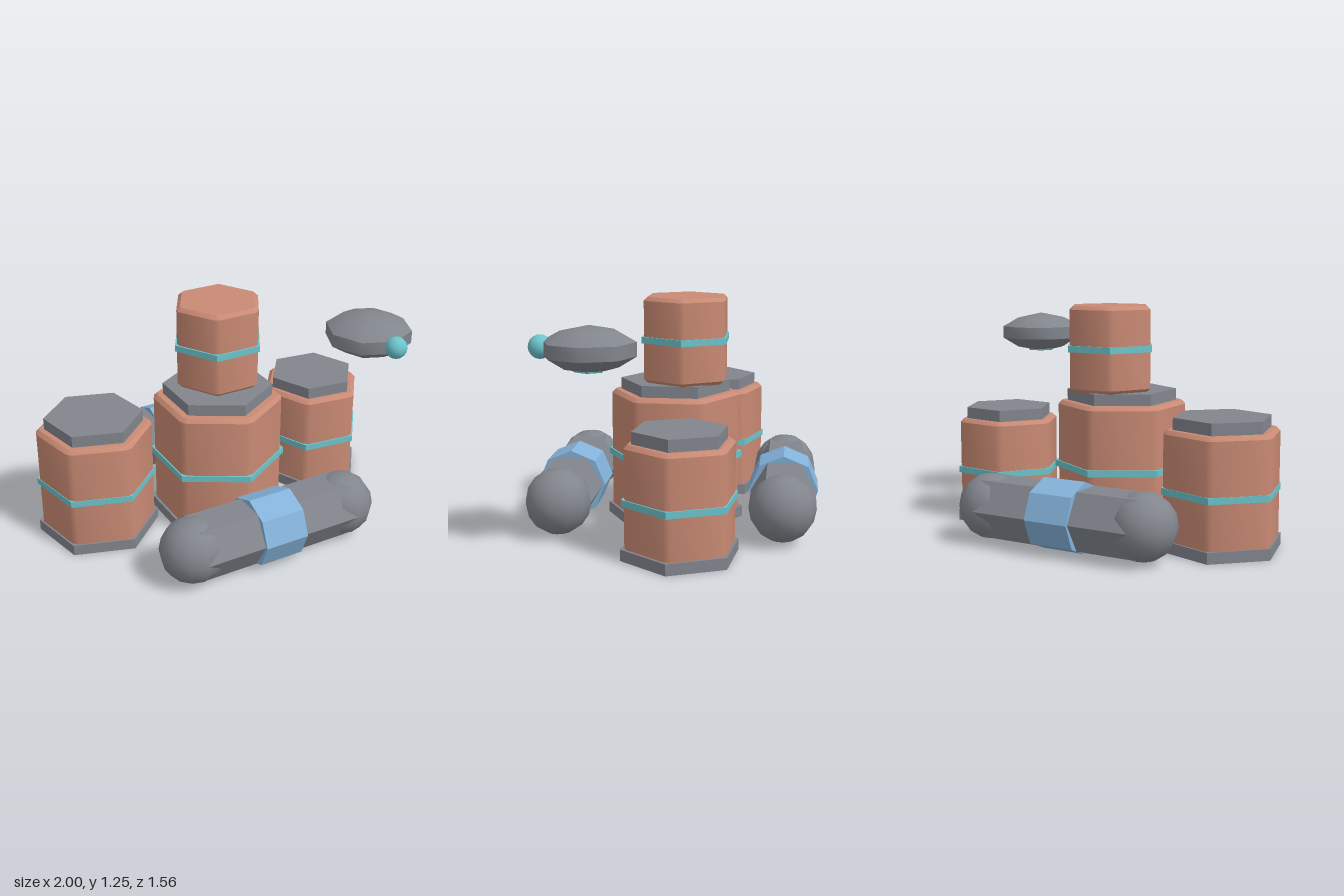
import * as THREE from 'three';
import { toCreasedNormals } from 'three/addons/utils/BufferGeometryUtils.js';

const deg = Math.PI / 180;

function material(name, color) {
  const m = new THREE.MeshStandardMaterial({ color });
  m.name = name;
  return m;
}

function add(parent, name, geometry, mat, x = 0, y = 0, z = 0) {
  const mesh = new THREE.Mesh(geometry, mat);
  mesh.name = name;
  mesh.position.set(x, y, z);
  parent.add(mesh);
  return mesh;
}

// Sharp-edged prism standing on its base
function prism(radius, height, sides) {
  const g = new THREE.CylinderGeometry(radius, radius, height, sides);
  return toCreasedNormals(g.translate(0, height / 2, 0), 0.5);
}

// Hexagonal drum with softened corners and a bevelled rim
function drum(radius, height, bevel = 0.02) {
  const half = 3.5 * deg, r = radius / Math.cos(half), points = [];
  for (let i = 0; i < 6; i++) {
    for (const s of [-1, 1]) {
      const a = (90 + i * 60) * deg + s * half;
      points.push(new THREE.Vector2(r * Math.cos(a), r * Math.sin(a)));
    }
  }
  const g = new THREE.ExtrudeGeometry(new THREE.Shape(points), {
    depth: height - 2 * bevel, bevelEnabled: true, bevelThickness: bevel,
    bevelSize: bevel, bevelOffset: -bevel, bevelSegments: 1,
  });
  g.translate(0, 0, bevel).rotateX(-Math.PI / 2);
  return toCreasedNormals(g, 40 * deg);
}

export function createModel() {
  const root = new THREE.Group();
  root.name = 'barrelCluster';
  const copper = material('copper', 0xc98a74);
  const grey = material('steelGrey', 0x82868d);
  const teal = material('teal', 0x6cc4cc);
  const blue = material('blue', 0x84b2d9);

  // Hexagonal barrels: drum, band, and optionally a base and a lid
  const barrels = [
    { name: 'centreBarrel', at: [-0.005, 0, 0.02], turn: 0, r: 0.352, h: 0.72,
      base: 0.38, band: 0.373, bandY: 0.345, lid: 0.302 },
    { name: 'rightBarrel', at: [-0.685, 0, -0.13], turn: 12, r: 0.311, h: 0.635,
      base: 0.333, band: 0.326, bandY: 0.3, lid: 0.267 },
    { name: 'leftBarrel', at: [0.69, 0, -0.085], turn: 23, r: 0.286, h: 0.592,
      base: 0.312, band: 0.305, bandY: 0.28, lid: 0.25 },
    { name: 'topBarrel', at: [0.033, 0.78, -0.045], turn: 30, r: 0.243, h: 0.468,
      band: 0.262, bandY: 0.22 },
  ];
  for (const b of barrels) {
    const g = new THREE.Group();
    g.name = b.name;
    g.position.set(...b.at);
    g.rotation.y = b.turn * deg;
    root.add(g);
    const lift = b.base ? 0.005 : 0;
    add(g, 'drum', drum(b.r, b.h - lift), copper, 0, lift, 0);
    add(g, 'band', prism(b.band, 0.035, 6), teal, 0, b.bandY, 0);
    if (b.base) add(g, 'base', prism(b.base, 0.06, 6), grey);
    if (b.lid) add(g, 'lid', prism(b.lid, 0.063, 6), grey, 0, b.h, 0);
  }

  // Lying tanks, front and back
  for (const side of [1, -1]) {
    const tank = new THREE.Group();
    tank.name = side > 0 ? 'frontTank' : 'backTank';
    tank.position.set(-0.01, 0.19, side * 0.592);
    root.add(tank);
    const lying = (r, length, sides) =>
      prism(r, length, sides).translate(0, -length / 2, 0).rotateZ(Math.PI / 2);
    add(tank, 'tankBody', lying(0.177, 0.925, 6), grey);
    add(tank, 'tankBand', lying(0.19, 0.25, 8), blue);
    for (const end of [1, -1]) {
      add(tank, 'tankEnd', new THREE.SphereGeometry(0.177, 12, 8), grey, end * 0.46, 0, 0);
    }
  }

  // Hovering drone
  const drone = new THREE.Group();
  drone.name = 'drone';
  drone.position.set(0.75, 1.055, 0.352);
  root.add(drone);
  const profile = [[0, -0.105], [0.09, -0.102], [0.145, -0.09], [0.234, -0.035],
    [0.234, 0.035], [0.145, 0.085], [0, 0.115]].map(([x, y]) => new THREE.Vector2(x, y));
  const hull = toCreasedNormals(new THREE.LatheGeometry(profile, 8), 46 * deg);
  add(drone, 'hull', hull, grey);
  add(drone, 'eye', new THREE.SphereGeometry(0.06, 14, 10), teal, 0, 0.005, 0.243);
  const ring = new THREE.TorusGeometry(0.078, 0.009, 4, 6).rotateX(Math.PI / 2);
  add(drone, 'thrusterRing', ring, teal, 0, -0.103, 0);

  return root;
}
